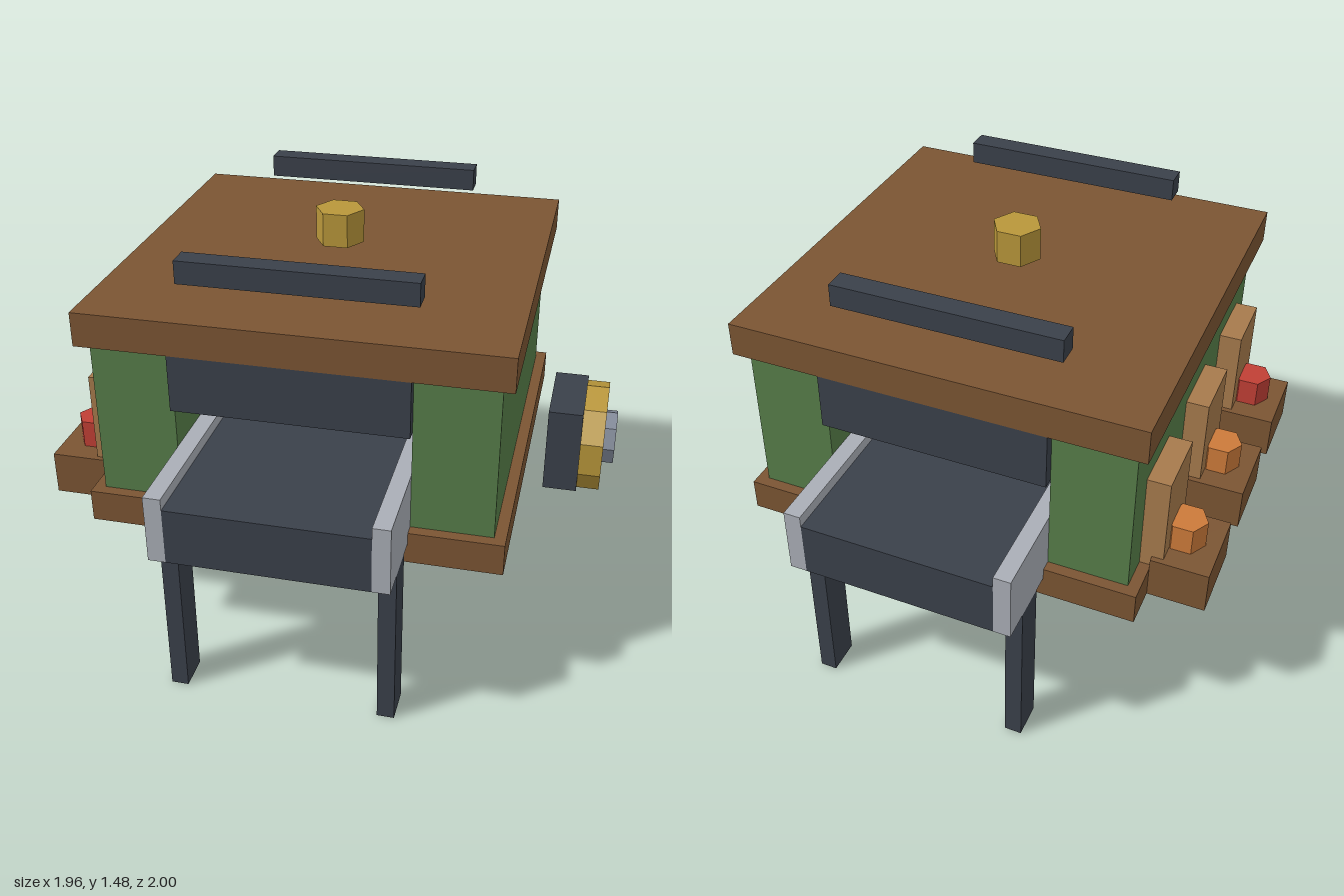
import * as THREE from 'three';

export function createModel() {
  const model = new THREE.Group();
  const material = (name, color) => {
    const m = new THREE.MeshStandardMaterial({ color });
    m.name = name;
    return m;
  };
  const wood = material('brown wood', 0x7b5533);
  const tan = material('tan wood', 0xa67a4c);
  const green = material('green panel', 0x567d49);
  const dark = material('dark metal', 0x3a404a);
  const pale = material('pale metal', 0xaaaeb6);
  const steel = material('blue grey steel', 0x7f8796);
  const gold = material('brass', 0xb8963a);
  const orange = material('orange', 0xcc7a3a);
  const red = material('red', 0xc03f35);

  const add = (name, geometry, mat, x, y, z) => {
    const mesh = new THREE.Mesh(geometry, mat);
    mesh.name = name;
    mesh.position.set(x, y, z);
    model.add(mesh);
  };
  // Box given by its extents on each axis
  const box = (name, mat, [x0, x1], [y0, y1], [z0, z1]) =>
    add(name, new THREE.BoxGeometry(x1 - x0, y1 - y0, z1 - z0), mat,
      (x0 + x1) / 2, (y0 + y1) / 2, (z0 + z1) / 2);
  // Upright faceted prism with its base at y
  const hexPrism = (name, mat, radius, height, x, y, z) =>
    add(name, new THREE.CylinderGeometry(radius, radius, height, 6).rotateY(Math.PI / 6).toNonIndexed(),
      mat, x, y + height / 2, z);
  // Faceted disc on the x axis with a corner pointing up
  const disc = (name, mat, radius, sides, x0, x1) => {
    const g = new THREE.CylinderGeometry(radius, radius, x1 - x0, sides);
    g.rotateY(Math.PI / 2).rotateZ(-Math.PI / 2);
    add(name, g, mat, (x0 + x1) / 2, 0.68, 0);
  };
  [steel, gold, orange, red].forEach((m) => { m.flatShading = true; });

  // Housing
  box('basePlate', wood, [-0.78, 0.66], [0.525, 0.64], [-0.72, 0.72]);
  box('roof', wood, [-0.78, 0.66], [1.2, 1.32], [-0.72, 0.72]);
  box('rightWall', green, [-0.74, -0.46], [0.64, 1.2], [-0.68, 0.68]);
  box('leftWall', green, [0.34, 0.62], [0.64, 1.2], [-0.68, 0.68]);

  // Conveyor running through the housing
  box('conveyorBelt', dark, [-0.4, 0.28], [0.6, 0.8], [-1, 1]);
  for (const x of [-0.46, 0.28]) {
    box('conveyorRail', pale, [x, x + 0.06], [0.6, 0.84], [-1, 1]);
    for (const z of [-0.84, 0.84]) box('leg', dark, [x, x + 0.06], [0, 0.6], [z - 0.06, z + 0.06]);
  }

  // Opening hoods, roof bars and roof knob
  for (const s of [-1, 1]) {
    box('openingHood', dark, [-0.46, 0.34], [1, 1.2], [s * 0.68 - 0.04, s * 0.68 + 0.04]);
    box('roofBar', dark, [-0.46, 0.34], [1.4, 1.48], [s * 0.56 - 0.04, s * 0.56 + 0.04]);
  }
  hexPrism('roofKnob', gold, 0.0875, 0.12, -0.06, 1.36, 0);

  // Side wheel with mount and hub
  box('wheelMount', dark, [0.735, 0.856], [0.525, 0.84], [-0.157, 0.157]);
  disc('wheel', gold, 0.2, 10, 0.856, 0.936);
  disc('wheelHub', steel, 0.1, 8, 0.92, 0.976);

  // Three side stations, each with a shelf, back board and button
  for (const [z, mat] of [[-0.44, orange], [0, orange], [0.44, red]]) {
    box('stationShelf', wood, [-0.98, -0.78], [0.525, 0.68], [z - 0.14, z + 0.14]);
    box('stationBoard', tan, [-0.82, -0.74], [0.63, 1], [z - 0.12, z + 0.12]);
    hexPrism('stationButton', mat, 0.07, 0.1, -0.86, 0.68, z);
  }
  return model;
}
